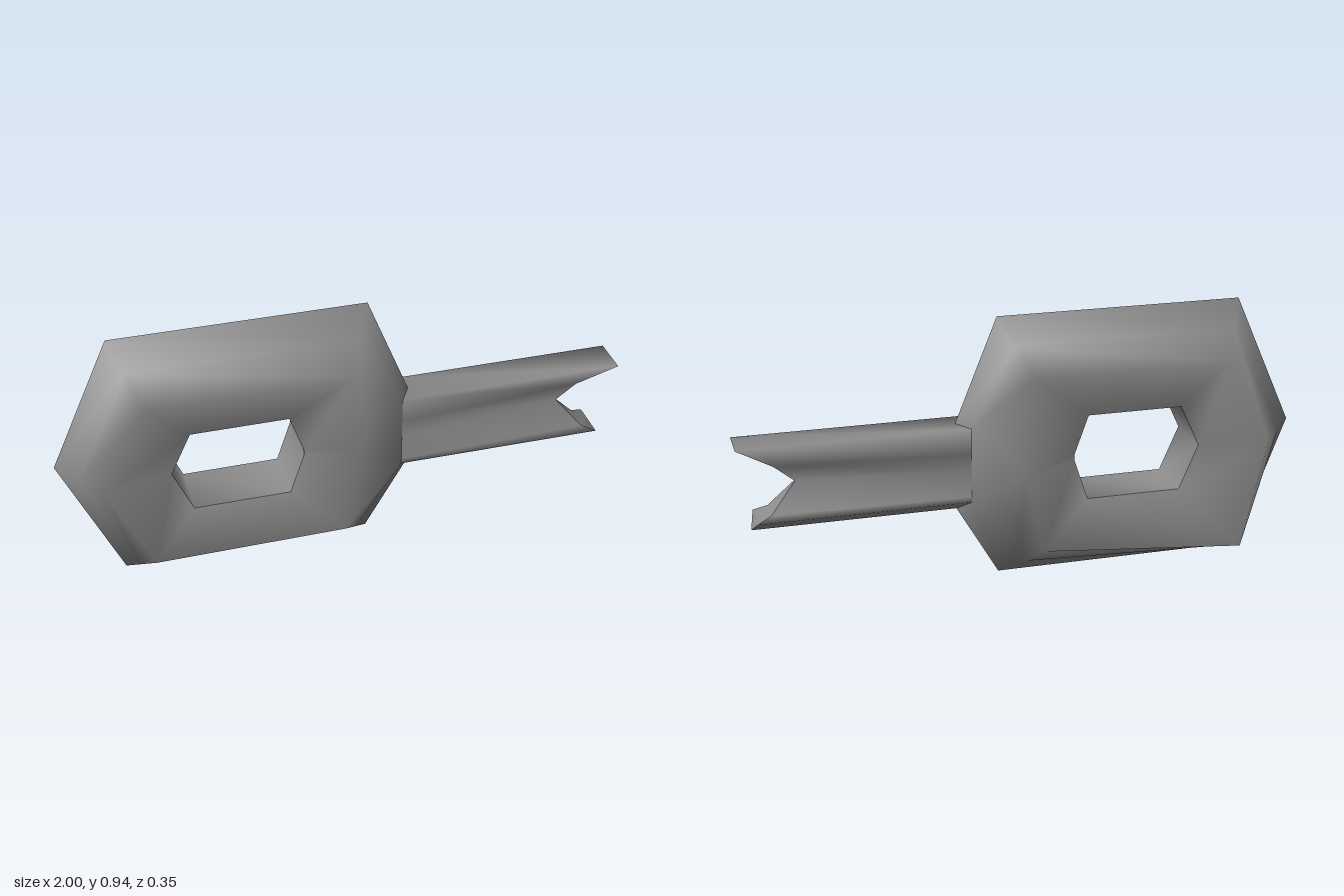
import * as THREE from 'three';

const ZC = 0.01; // mid plane of the model

function indexedGeometry(points, index) {
  const geo = new THREE.BufferGeometry();
  geo.setAttribute('position', new THREE.Float32BufferAttribute(points.flat(), 3));
  geo.setIndex(index);
  geo.computeVertexNormals();
  return geo;
}

// Skin a list of cross-sections (arrays of [x, y, z]); either direction may wrap around.
function loft(sections, wrapPath, wrapProfile) {
  const n = sections[0].length, m = sections.length, index = [];
  for (let i = 0; i < (wrapPath ? m : m - 1); i++) {
    for (let j = 0; j < (wrapProfile ? n : n - 1); j++) {
      const i2 = (i + 1) % m, j2 = (j + 1) % n;
      const a = i * n + j, b = i2 * n + j, c = i * n + j2, d = i2 * n + j2;
      index.push(a, c, d, a, d, b);
    }
  }
  return indexedGeometry(sections.flat(), index);
}

const mid = (a, b) => a.map((v, k) => (v + b[k]) / 2);

// Ring section split at its sharp edges: front shell, wall of the hole, back shell.
function ringSection({ outer, crest, inner, edge, back }) {
  const rim = [...outer, ZC];
  const front = [...crest, 0.172];
  const rear = back || [...crest, -0.153];
  const holeFront = [...inner, ZC + 0.1], holeBack = [...inner, ZC - 0.1];
  const shoulder = (peak, s) => (edge ? [...edge, ZC + s * 0.07] : mid(rim, peak));
  return {
    ringFront: [rim, shoulder(front, 1), front, holeFront],
    holeWall: [holeFront, holeBack],
    ringBack: [holeBack, rear, shoulder(rear, -1), rim],
  };
}

const RING_STATIONS = [
  { outer: [-0.79, 0.95], crest: [-0.7, 0.77], inner: [-0.55, 0.6] },
  { outer: [0.09, 0.95], crest: [0.0, 0.77], inner: [-0.21, 0.6] },
  // the two stations where the blade leaves the ring
  { outer: [0.24, 0.58], crest: [0.04, 0.47], inner: [-0.16, 0.46], edge: [0.2, 0.58] },
  { outer: [0.24, 0.265], crest: [0.03, 0.42], inner: [-0.16, 0.44], edge: [0.2, 0.31] },
  { outer: [0.09, 0.005], crest: [-0.03, 0.135], inner: [-0.21, 0.29] },
  // this corner bulges at the back
  { outer: [-0.79, 0.005], crest: [-0.7, 0.13], inner: [-0.55, 0.29], back: [-0.76, 0.08, -0.175] },
  { outer: [-1, 0.48], crest: [-0.86, 0.46], inner: [-0.62, 0.45] },
];

// Blade rows from top to keel: y, start x, end x, half thickness at start and at end.
const BLADE_ROWS = [
  [0.58, 0.2, 1.0, 0.07, 0.07],
  [0.49, 0.2, 0.87, 0.07, 0.012],
  [0.43, 0.2, 0.8, 0.07, 0.005],
  [0.33, 0.2, 0.89, 0.07, 0.05],
  [0.31, 0.2, 0.94, 0.07, 0.07],
  [0.265, 0.23, 0.955, 0.002, 0.002],
];

function bladeSection(atEnd) {
  const side = (s) => BLADE_ROWS.map(([y, x0, x1, h0, h1]) =>
    [atEnd ? x1 : x0, y, ZC + s * (atEnd ? h1 : h0)]);
  return [...side(1), ...side(-1).reverse()];
}

// Notched end of the blade, a strip between its front and back rims.
function bladeEndGeometry() {
  const rim = bladeSection(true), n = rim.length, index = [];
  for (let k = 0; k < n / 2 - 1; k++) {
    index.push(k, k + 1, n - 2 - k, k, n - 2 - k, n - 1 - k);
  }
  return indexedGeometry(rim, index);
}

export function createModel() {
  const group = new THREE.Group();
  group.name = 'key';
  const material = new THREE.MeshStandardMaterial({ color: 0x8c8c8c });
  const add = (name, geometry) => {
    const mesh = new THREE.Mesh(geometry, material);
    mesh.name = name;
    group.add(mesh);
  };

  const sections = RING_STATIONS.map(ringSection);
  for (const part of ['ringFront', 'holeWall', 'ringBack']) {
    add(part, loft(sections.map((s) => s[part]), true, false));
  }
  add('blade', loft([bladeSection(false), bladeSection(true)], false, true));
  add('bladeEnd', bladeEndGeometry());
  return group;
}
